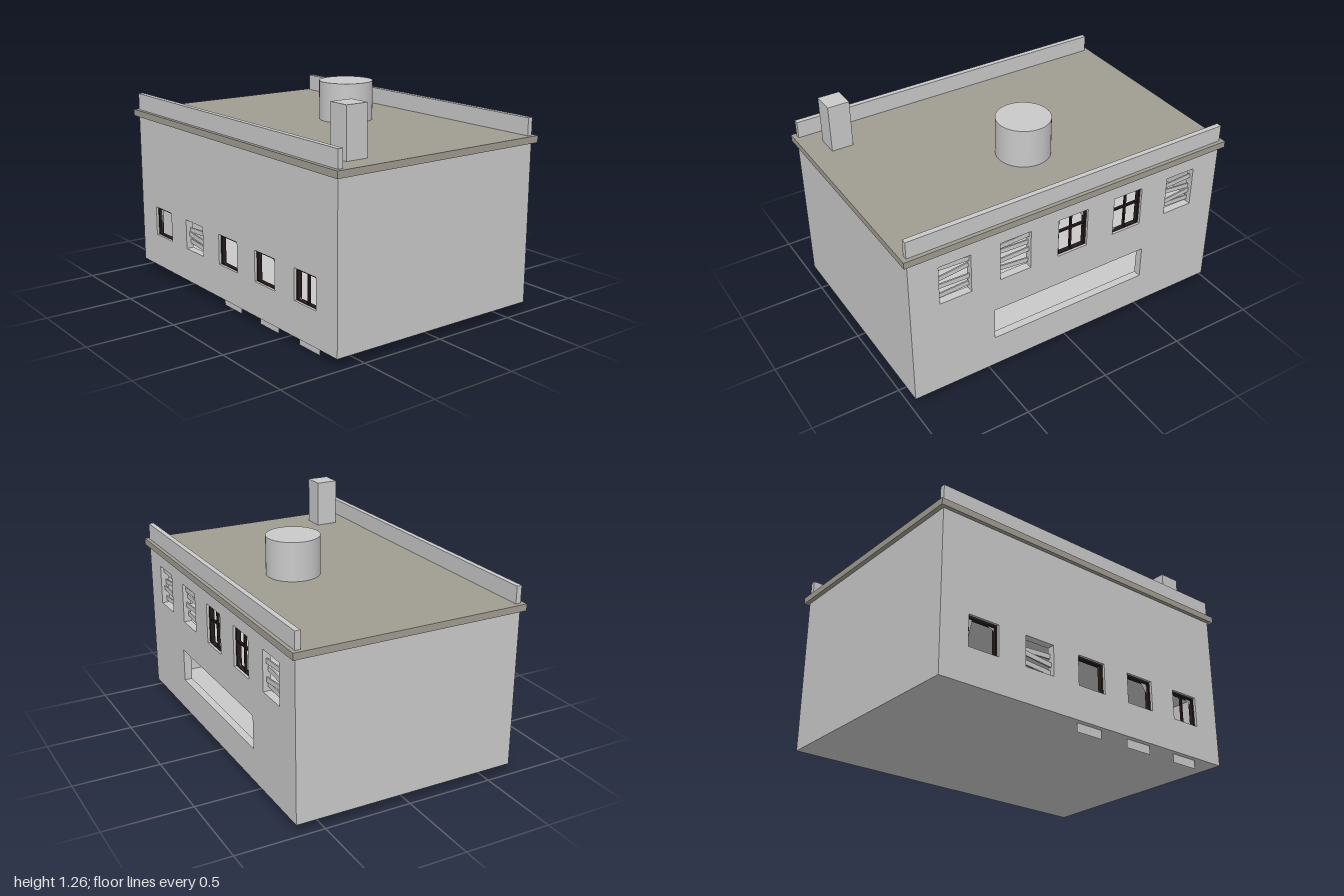
import * as THREE from 'three';

const mat = (name, color, side = THREE.FrontSide) => {
  const m = new THREE.MeshStandardMaterial({ color, side });
  m.name = name;
  return m;
};

export function createModel() {
  const wall = mat('concrete grey', 0xc9c9c9);
  const sheet = mat('thin panel grey', 0xc8c8c8, THREE.DoubleSide);
  const roof = mat('roof taupe', 0xa09c92);
  const frameMat = mat('dark frame', 0x241c1a);
  const glass = mat('dusty glass', 0xafb1b1, THREE.DoubleSide);

  const model = new THREE.Group();
  model.name = 'building';

  const add = (parent, name, geo, m, x = 0, y = 0, z = 0) => {
    const mesh = new THREE.Mesh(geo, m);
    mesh.name = name;
    mesh.position.set(x, y, z);
    parent.add(mesh);
    return mesh;
  };
  // box given by its limits on each axis
  const block = (name, m, x0, x1, y0, y1, z0, z1, parent = model) =>
    add(parent, name, new THREE.BoxGeometry(x1 - x0, y1 - y0, z1 - z0), m,
      (x0 + x1) / 2, (y0 + y1) / 2, (z0 + z1) / 2);

  const T = 0.045;                      // wall thickness
  const W = 0.185;                      // window width
  const columns = [-2, -1, 0, 1, 2].map(i => i * 0.357);
  const front = { y0: 0.245, y1: 0.418 };
  const back = { y0: 0.628, y1: 0.862 };

  // Long walls with openings
  const longWall = (name, z, holes) => {
    const s = new THREE.Shape();
    s.moveTo(-0.975, 0.05).lineTo(0.975, 0.05).lineTo(0.975, 0.95).lineTo(-0.975, 0.95).closePath();
    for (const [x0, x1, y0, y1] of holes) {
      const p = new THREE.Path();
      p.moveTo(x0, y0).lineTo(x0, y1).lineTo(x1, y1).lineTo(x1, y0).closePath();
      s.holes.push(p);
    }
    add(model, name, new THREE.ExtrudeGeometry(s, { depth: T, bevelEnabled: false }), wall, 0, 0, z);
  };
  const row = ({ y0, y1 }) => columns.map(x => [x - W / 2, x + W / 2, y0, y1]);
  longWall('frontWall', 0.65 - T, row(front));
  longWall('backWall', -0.65, [...row(back), [-0.485, 0.485, 0.242, 0.435]]);

  // Side walls and storeys
  for (const s of [-1, 1])
    add(model, 'sideWall', new THREE.BoxGeometry(T, 0.9, 1.3 - 2 * T), wall, s * (0.975 - T / 2), 0.5, 0);
  block('groundFloor', wall, -0.93, 0.93, 0.05, 0.09, -0.605, 0.605);
  block('upperFloor', wall, -0.93, 0.93, 0.48, 0.54, -0.605, 0.605);
  block('ceiling', wall, -0.93, 0.93, 0.935, 0.949, -0.605, 0.605);

  // Roof, parapets, tank and chimney
  block('roofSlab', roof, -1, 1, 0.95, 0.988, -0.672, 0.672);
  block('frontParapet', wall, -0.975, 0.975, 0.988, 1.085, 0.62, 0.65);
  block('backParapet', wall, -0.975, 0.975, 0.988, 1.085, -0.65, -0.62);
  add(model, 'roofTank', new THREE.CylinderGeometry(0.152, 0.152, 0.222, 48), wall, 0, 1.099, -0.163);
  block('chimney', wall, 0.75, 0.875, 0.988, 1.26, 0.394, 0.522);

  // Window frame with optional bars; bars: 0 none, 1 upright, 2 cross
  const framedWindow = (x, { y0, y1 }, z, bars, shards) => {
    const g = new THREE.Group();
    g.name = 'framedWindow';
    g.position.set(x, y0, z);
    const w = W / 2, h = y1 - y0, f = 0.011, d = 0.013;
    block('frameLeft', frameMat, w - f, w, 0, h, -d, d, g);
    block('frameRight', frameMat, -w, -w + f, 0, h, -d, d, g);
    block('frameTop', frameMat, -w, w, h - f, h, -d, d, g);
    block('frameSill', frameMat, -w, w, 0, 0.004, -d, d, g);
    if (bars > 0) block('mullion', frameMat, -0.005, 0.005, 0, h, -0.007, 0.007, g);
    if (bars > 1) block('crossBar', frameMat, -w, w, h * 0.58, h * 0.58 + 0.011, -0.007, 0.007, g);
    // broken glass left in the corners: [side, top?, width, height]
    for (const [side, top, sw, sh] of shards) {
      const cx = side * (w - f), cy = top ? h - f : 0.004;
      const s = new THREE.Shape();
      s.moveTo(cx, cy).lineTo(cx - side * sw, cy).lineTo(cx, cy + (top ? -sh : sh)).closePath();
      add(g, 'glassShard', new THREE.ShapeGeometry(s), glass);
    }
    model.add(g);
  };

  // Window closed with crooked boards: [height share, tilt]
  const boardedWindow = (x, { y0, y1 }, z, boards) => {
    const g = new THREE.Group();
    g.name = 'boardedWindow';
    g.position.set(x, y0, z);
    boards.forEach(([t, tilt], i) => {
      const b = add(g, 'board', new THREE.BoxGeometry(W - 0.001, 0.027, 0.008), wall,
        0, t * (y1 - y0), (i % 2 - 0.5) * 0.009);
      b.rotation.z = tilt;
    });
    model.add(g);
  };

  const zf = 0.623, zb = -0.623;
  framedWindow(columns[0], front, zf, 0, [[-1, true, 0.03, 0.14], [1, true, 0.045, 0.02]]);
  boardedWindow(columns[1], front, zf, [[0.66, 0.06], [0.45, -0.11], [0.2, -0.08]]);
  framedWindow(columns[2], front, zf, 0, [[-1, false, 0.015, 0.015], [1, true, 0.01, 0.015]]);
  framedWindow(columns[3], front, zf, 0, [[1, true, 0.045, 0.06], [-1, true, 0.02, 0.02]]);
  framedWindow(columns[4], front, zf, 1, [[1, true, 0.045, 0.03], [-1, false, 0.025, 0.025]]);

  boardedWindow(columns[4], back, zb, [[0.88, 0.05], [0.62, -0.12], [0.4, 0.03], [0.14, -0.06]]);
  boardedWindow(columns[3], back, zb, [[0.86, -0.05], [0.66, 0.04], [0.46, -0.03], [0.18, 0.1]]);
  framedWindow(columns[2], back, zb, 2, [[-1, true, 0.04, 0.04]]);
  framedWindow(columns[1], back, zb, 2, [[1, false, 0.03, 0.03]]);
  boardedWindow(columns[0], back, zb, [[0.74, -0.06], [0.5, 0.1], [0.32, -0.1], [0.14, 0.05]]);

  // Thin panels hanging under the front wall
  for (const x of columns.slice(2))
    add(model, 'hangingPanel', new THREE.PlaneGeometry(0.172, 0.12), sheet, x - 0.003, 0.06, 0.62);

  // Narrow drip edge low on the back wall, facing down
  const drip = add(model, 'dripEdge', new THREE.PlaneGeometry(0.97, 0.012), wall, 0, 0.085, -0.655);
  drip.rotation.x = Math.PI / 2;

  return model;
}
